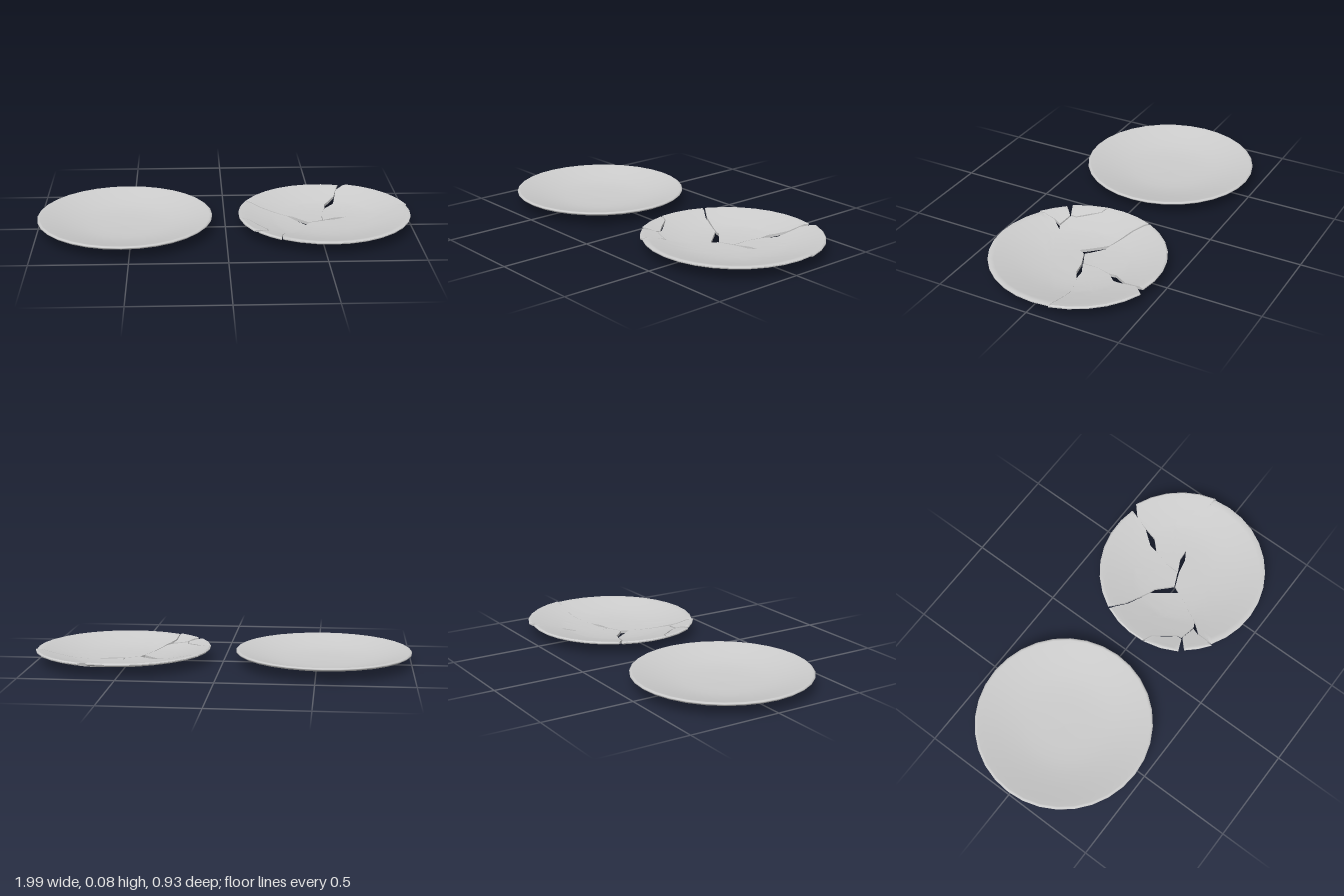
import * as THREE from 'three';
import { toCreasedNormals } from 'three/addons/utils/BufferGeometryUtils.js';

const R = 0.465, SIDES = 32;
// [radius, height] of the underside and of the dished upper side
const under = [[0, 0.002], [0.12, 0.004], [0.2, 0.009], [0.27, 0.019], [0.35, 0.037], [0.42, 0.054], [0.455, 0.062], [R, 0.069]];
const upper = [[0, 0.018], [0.12, 0.02], [0.2, 0.025], [0.27, 0.034], [0.35, 0.052], [0.42, 0.07], [0.45, 0.078], [0.458, 0.079], [R, 0.074]];

const material = new THREE.MeshStandardMaterial({ color: 0xcccccc, side: THREE.DoubleSide });

// Height of a profile at a radius
function heightAt(profile, r) {
  for (let i = 1; i < profile.length; i++) {
    const [r0, y0] = profile[i - 1], [r1, y1] = profile[i];
    if (r <= r1) return y0 + (y1 - y0) * (r - r0) / (r1 - r0);
  }
  return profile[profile.length - 1][1];
}

// Closed outline of a shard: its crack line, then the plate rim back to the start
function outlineOf(crack, [cx, cz]) {
  const pts = crack.map((p) => p.slice());
  const angle = (p) => Math.atan2(p[1] - cz, p[0] - cx);
  const rim = (a) => [cx + R * Math.cos(a), cz + R * Math.sin(a)];
  const from = angle(pts[pts.length - 1]);
  let to = angle(pts[0]);
  if (to < from) to += Math.PI * 2;
  pts[0] = rim(to);
  pts[pts.length - 1] = rim(from);
  const out = [];
  for (let i = 0; i < pts.length - 1; i++) {
    const [a, b] = [pts[i], pts[i + 1]];
    const n = Math.ceil(Math.hypot(b[0] - a[0], b[1] - a[1]) / 0.04);
    for (let k = 0; k < n; k++) out.push([a[0] + (b[0] - a[0]) * k / n, a[1] + (b[1] - a[1]) * k / n]);
  }
  const steps = Math.max(2, Math.round((to - from) / (Math.PI * 2 / SIDES)));
  for (let k = 0; k < steps; k++) out.push(rim(from + (to - from) * k / steps));
  return out;
}

// Shard: rings from a middle point to the outline on both sides, joined by a wall
function shardGeometry(crack, centre, middle) {
  const outline = outlineOf(crack, centre), n = outline.length;
  const scales = [0, 0.2, 0.4, 0.6, 0.78, 0.9, 0.96, 1];
  const pos = [], index = [];
  const addRing = (t, profile) => outline.forEach(([x, z]) => {
    const px = middle[0] + (x - middle[0]) * t, pz = middle[1] + (z - middle[1]) * t;
    pos.push(px, heightAt(profile, Math.hypot(px - centre[0], pz - centre[1])), pz);
  });
  scales.forEach((t) => addRing(t, upper));
  scales.slice().reverse().forEach((t) => addRing(t, under));
  const last = scales.length * 2 - 1;
  for (let j = 0; j < last; j++) {
    for (let i = 0; i < n; i++) {
      const a = j * n + i, b = j * n + (i + 1) % n, c = a + n, d = b + n;
      if (j > 0) index.push(a, b, c);
      if (j < last - 1) index.push(b, d, c);
      else continue;
    }
  }
  const geo = new THREE.BufferGeometry();
  geo.setAttribute('position', new THREE.Float32BufferAttribute(pos, 3));
  // outlines run clockwise seen from above, so the corners are reversed
  for (let i = 0; i < index.length; i += 3) [index[i + 1], index[i + 2]] = [index[i + 2], index[i + 1]];
  geo.setIndex(index);
  return toCreasedNormals(geo, 0.7);
}

// Pieces of the broken plate: plate centre, inner point and crack line (x, z)
const shards = {
  backLeftShard: {
    centre: [0.535, 0], middle: [0.4, -0.25],
    crack: [[0.66, -0.46], [0.64, -0.4], [0.62, -0.33], [0.56, -0.25], [0.555, -0.2], [0.53, -0.13],
      [0.525, -0.04], [0.45, -0.005], [0.37, -0.08], [0.335, -0.09], [0.2, -0.15], [0.125, -0.205]],
  },
  backRightShard: {
    centre: [0.54, -0.02], middle: [0.75, -0.23],
    crack: [[0.99, -0.12], [0.93, -0.125], [0.8, -0.125], [0.71, -0.1], [0.66, -0.08], [0.6, -0.075], [0.53, -0.04],
      [0.53, -0.13], [0.56, -0.21], [0.61, -0.26], [0.625, -0.33], [0.64, -0.4], [0.7, -0.455]],
  },
  frontShard: {
    centre: [0.53, -0.03], middle: [0.6, 0.12],
    crack: [[0.28, 0.36], [0.29, 0.27], [0.34, 0.21], [0.4, 0.1], [0.43, 0.04], [0.45, 0], [0.535, -0.035],
      [0.61, -0.05], [0.66, -0.08], [0.71, -0.1], [0.8, -0.125], [0.93, -0.125], [0.99, -0.12]],
  },
  sideShard: {
    centre: [0.535, 0], middle: [0.25, 0.05],
    crack: [[0.11, -0.2], [0.2, -0.14], [0.335, -0.085], [0.435, 0.04], [0.4, 0.1], [0.34, 0.21], [0.31, 0.225],
      [0.22, 0.21], [0.215, 0.18], [0.165, 0.12], [0.125, 0.075], [0.09, 0.055]],
  },
  rimChip: {
    centre: [0.535, 0], middle: [0.145, 0.17],
    crack: [[0.09, 0.06], [0.125, 0.08], [0.165, 0.135], [0.21, 0.185], [0.21, 0.215], [0.14, 0.245]],
  },
  frontChip: {
    centre: [0.53, -0.02], middle: [0.24, 0.27],
    crack: [[0.165, 0.265], [0.22, 0.215], [0.3, 0.23], [0.285, 0.27], [0.28, 0.36]],
  },
};

export function createModel() {
  const model = new THREE.Group();

  // Whole plate
  const profile = [...under, ...upper.slice().reverse()].map(([r, y]) => new THREE.Vector2(r, y));
  const plate = new THREE.Mesh(new THREE.LatheGeometry(profile, SIDES), material);
  plate.name = 'wholePlate';
  plate.position.set(-0.535, 0, 0);
  model.add(plate);

  // Broken plate
  const broken = new THREE.Group();
  broken.name = 'brokenPlate';
  for (const [name, { centre, middle, crack }] of Object.entries(shards)) {
    const shard = new THREE.Mesh(shardGeometry(crack, centre, middle), material);
    shard.name = name;
    broken.add(shard);
  }
  model.add(broken);
  return model;
}
